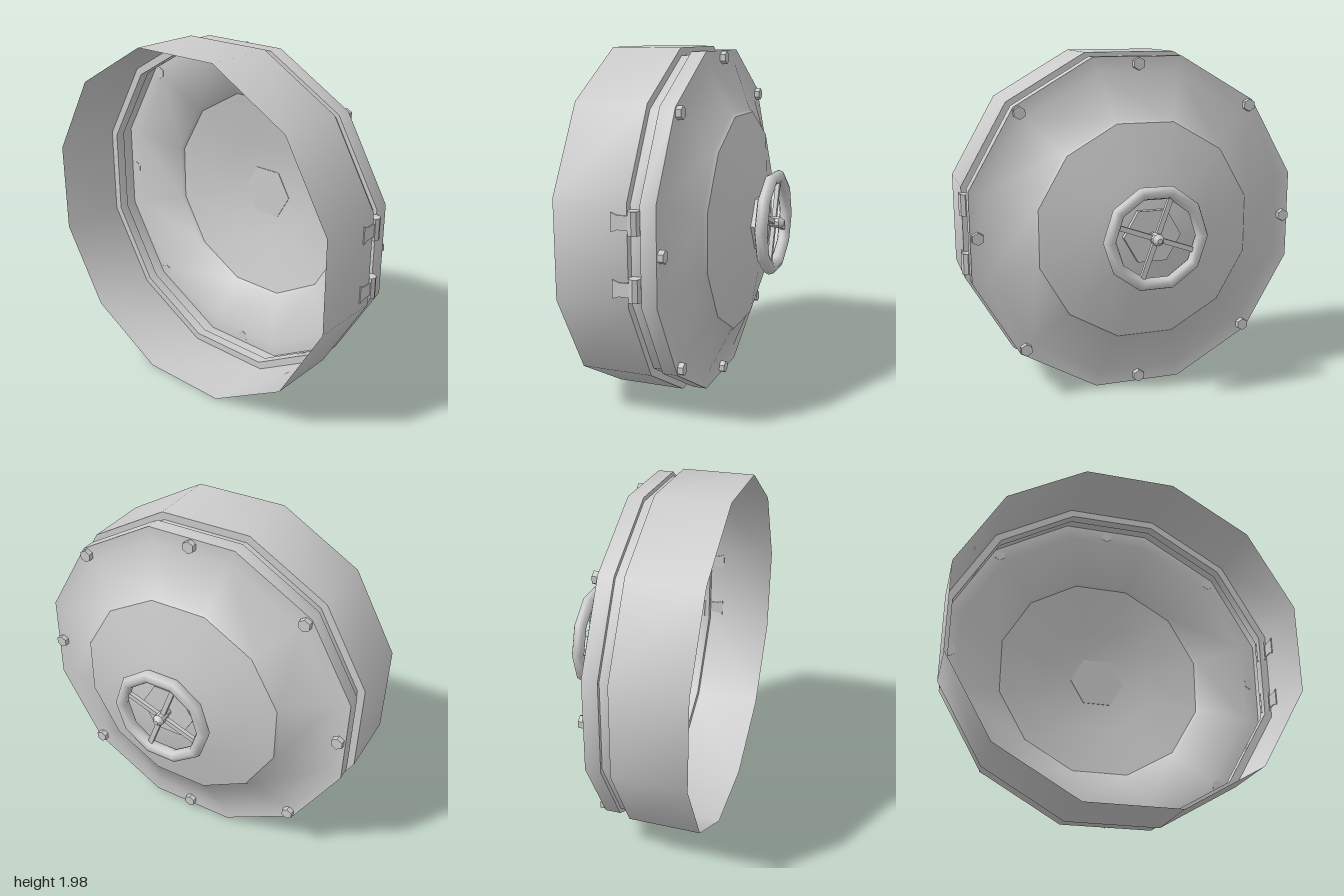
import * as THREE from 'three';
import { toCreasedNormals } from 'three/addons/utils/BufferGeometryUtils.js';

const material = new THREE.MeshStandardMaterial({ color: 0xcccccc });
const sheetMaterial = new THREE.MeshStandardMaterial({ color: 0xcccccc, side: THREE.DoubleSide });
const SIDES = 12;
const APOTHEM = Math.cos(Math.PI / SIDES);

function part(parent, name, geometry, mat = material) {
  const mesh = new THREE.Mesh(toCreasedNormals(geometry, THREE.MathUtils.degToRad(35)), mat);
  mesh.name = name;
  parent.add(mesh);
  return mesh;
}

// Twelve-sided sheet around the z axis; points are [distance to the flat side, z]
function turned(parent, name, points) {
  const profile = points.map(([r, z]) => new THREE.Vector2(r / APOTHEM, -z));
  const geometry = new THREE.LatheGeometry(profile, SIDES, Math.PI / SIDES).rotateX(-Math.PI / 2);
  return part(parent, name, geometry, sheetMaterial);
}

// Rod along z between two depths
function rod(parent, name, r1, r2, z1, z2, sides) {
  const geometry = new THREE.CylinderGeometry(r2, r1, z1 - z2, sides)
    .rotateX(-Math.PI / 2)
    .translate(0, 0, (z1 + z2) / 2);
  return part(parent, name, geometry);
}

export function createModel() {
  const model = new THREE.Group();
  model.name = 'hatch';
  const hatch = new THREE.Group();
  hatch.name = 'hatchAssembly';
  hatch.position.set(-0.01, 0.99, 0);
  model.add(hatch);

  // Open collar with the recessed neck
  turned(hatch, 'collar', [[0.99, 0.465], [0.99, 0.06], [0.947, 0.06], [0.947, 0]]);

  // Door: flange, stepped dome
  turned(hatch, 'door', [
    [0.947, 0], [0.97, 0], [0.97, -0.085], [0.885, -0.085], [0.63, -0.2],
    [0.615, -0.22], [0.58, -0.228], [0.33, -0.288], [0.18, -0.315], [0, -0.32],
  ]);

  // Flange bolts, set further out at the corners
  for (let i = 0; i < 8; i++) {
    const angle = i * Math.PI / 4;
    const radius = i % 2 ? 0.962 : 0.93;
    const bolt = rod(hatch, 'bolt', 0.036, 0.036, -0.083, -0.116, 6);
    bolt.position.set(radius * Math.cos(angle), radius * Math.sin(angle), 0);
  }

  // Hand wheel on a hexagonal base
  const wheel = new THREE.Group();
  wheel.name = 'handWheel';
  hatch.add(wheel);
  const base = rod(wheel, 'wheelBase', 0.167, 0.167, -0.312, -0.345, 6);
  base.rotation.z = Math.PI / 6;
  rod(wheel, 'wheelShaft', 0.024, 0.024, -0.34, -0.44, 10);
  rod(wheel, 'wheelHub', 0.034, 0.034, -0.385, -0.44, 10);
  rod(wheel, 'wheelCap', 0.034, 0.014, -0.44, -0.468, 10);
  const rim = new THREE.Mesh(new THREE.TorusGeometry(0.268, 0.037, 8, 10), material);
  rim.name = 'wheelRim';
  rim.position.z = -0.405;
  wheel.add(rim);
  for (let i = 0; i < 4; i++) {
    const spoke = part(wheel, 'spoke', new THREE.BoxGeometry(0.24, 0.028, 0.024).translate(0.14, 0, -0.405));
    spoke.rotation.z = THREE.MathUtils.degToRad(20 + 90 * i);
  }

  // Hinges on the model's left side
  for (const side of [-1, 1]) {
    const hinge = new THREE.Group();
    hinge.name = 'hinge';
    hinge.position.set(0.976, side * 0.17, 0.03);
    hatch.add(hinge);
    part(hinge, 'hingeKnuckle', new THREE.CylinderGeometry(0.034, 0.034, 0.122, 8));
    const leaf = new THREE.Shape([
      [0, -0.037], [0.08, -0.037], [0.115, -0.05], [0.115, 0.05], [0.08, 0.037], [0, 0.037],
    ].map(([x, y]) => new THREE.Vector2(x, y)));
    const plate = new THREE.ExtrudeGeometry(leaf, { depth: 0.012, bevelEnabled: false });
    part(hinge, 'hingeLeaf', plate.rotateY(-Math.PI / 2).translate(0.02, 0, 0));
  }
  return model;
}
